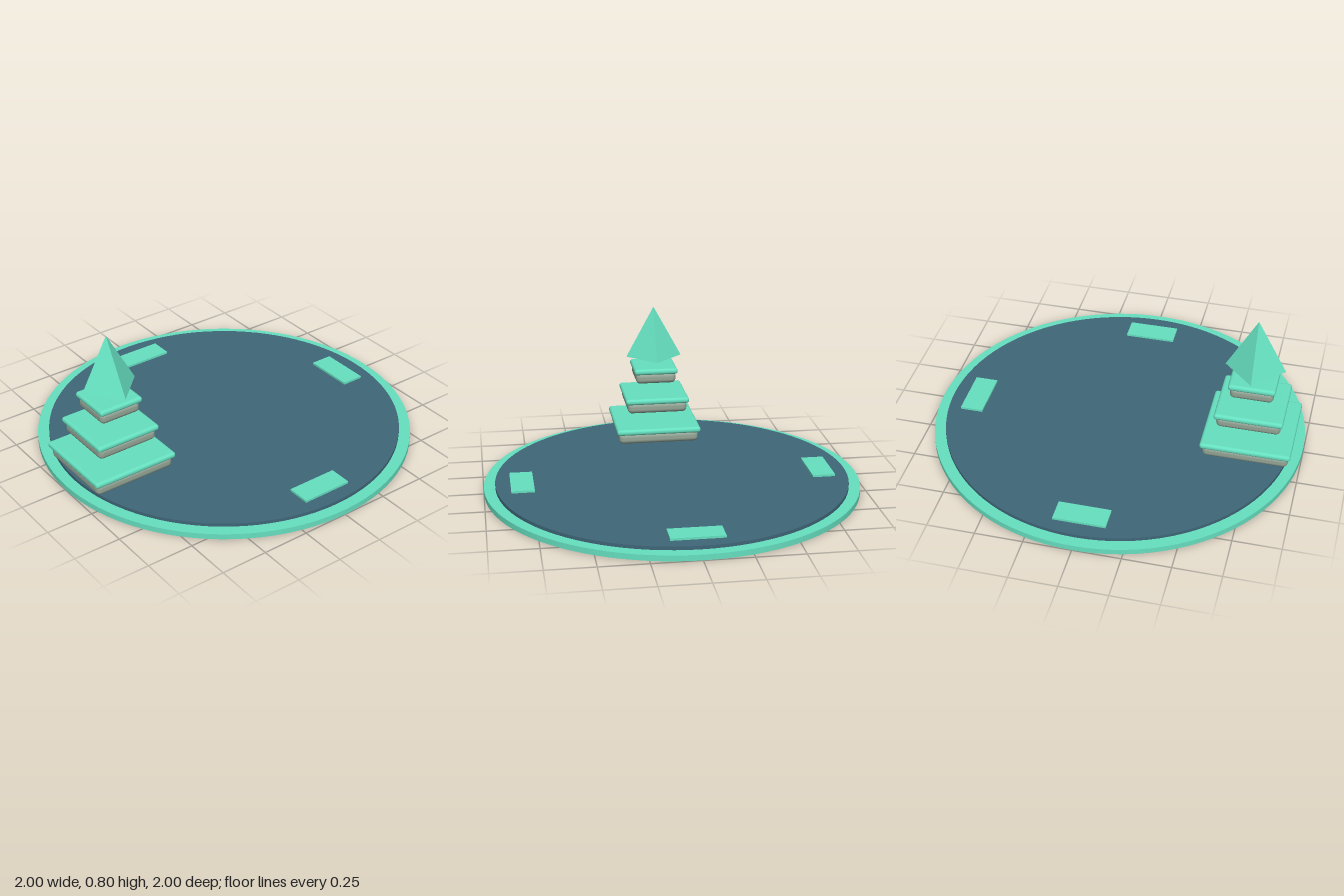
import * as THREE from 'three';
import { RoundedBoxGeometry } from 'three/addons/geometries/RoundedBoxGeometry.js';

export function createModel() {
  const model = new THREE.Group();
  model.name = 'platformWithTower';

  const mint = new THREE.MeshStandardMaterial({ color: 0x66e0c0 });
  const mintFlat = new THREE.MeshStandardMaterial({ color: 0x66e0c0, flatShading: true });
  const slate = new THREE.MeshStandardMaterial({ color: 0x3f6678 });
  const stone = new THREE.MeshStandardMaterial({ color: 0x94a596 });

  const add = (parent, name, geometry, material, x, y, z) => {
    const mesh = new THREE.Mesh(geometry, material);
    mesh.name = name;
    mesh.position.set(x, y, z);
    parent.add(mesh);
    return mesh;
  };

  // Round base with a slightly smaller floor disc on top
  add(model, 'baseDisc', new THREE.CylinderGeometry(1, 1, 0.03, 96), mint, 0, 0.015, 0);
  add(model, 'floorDisc', new THREE.CylinderGeometry(0.94, 0.94, 0.02, 96), slate, 0, 0.038, 0);

  // Four thin pads around the floor, long side across the radius
  const padNames = ['frontPad', 'leftPad', 'backPad', 'rightPad'];
  padNames.forEach((name, i) => {
    const a = (i * Math.PI) / 2;
    const pad = add(model, name, new THREE.BoxGeometry(0.274, 0.014, 0.122), mint,
      Math.sin(a) * 0.8, 0.053, Math.cos(a) * 0.8);
    pad.rotation.y = a;
  });

  // Tower of three floating tiers: a stone block under a wider slab
  const tower = new THREE.Group();
  tower.name = 'tower';
  tower.position.z = 0.717;
  model.add(tower);
  const tiers = [
    [0.45, 0.476, 0.058],
    [0.336, 0.36, 0.218],
    [0.227, 0.246, 0.376],
  ];
  tiers.forEach(([blockWidth, slabWidth, y]) => {
    const tier = new THREE.Group();
    tier.name = 'tier';
    tier.position.y = y;
    tower.add(tier);
    add(tier, 'stoneBlock', new RoundedBoxGeometry(blockWidth, 0.062, blockWidth, 4, 0.025), stone, 0, 0.031, 0);
    add(tier, 'slab', new RoundedBoxGeometry(slabWidth, 0.033, slabWidth, 4, 0.015), mint, 0, 0.0715, 0);
  });

  // Four-sided spire with its corners on the axes
  add(tower, 'spire', new THREE.ConeGeometry(0.157, 0.288, 4), mintFlat, 0, 0.656, 0);

  return model;
}
